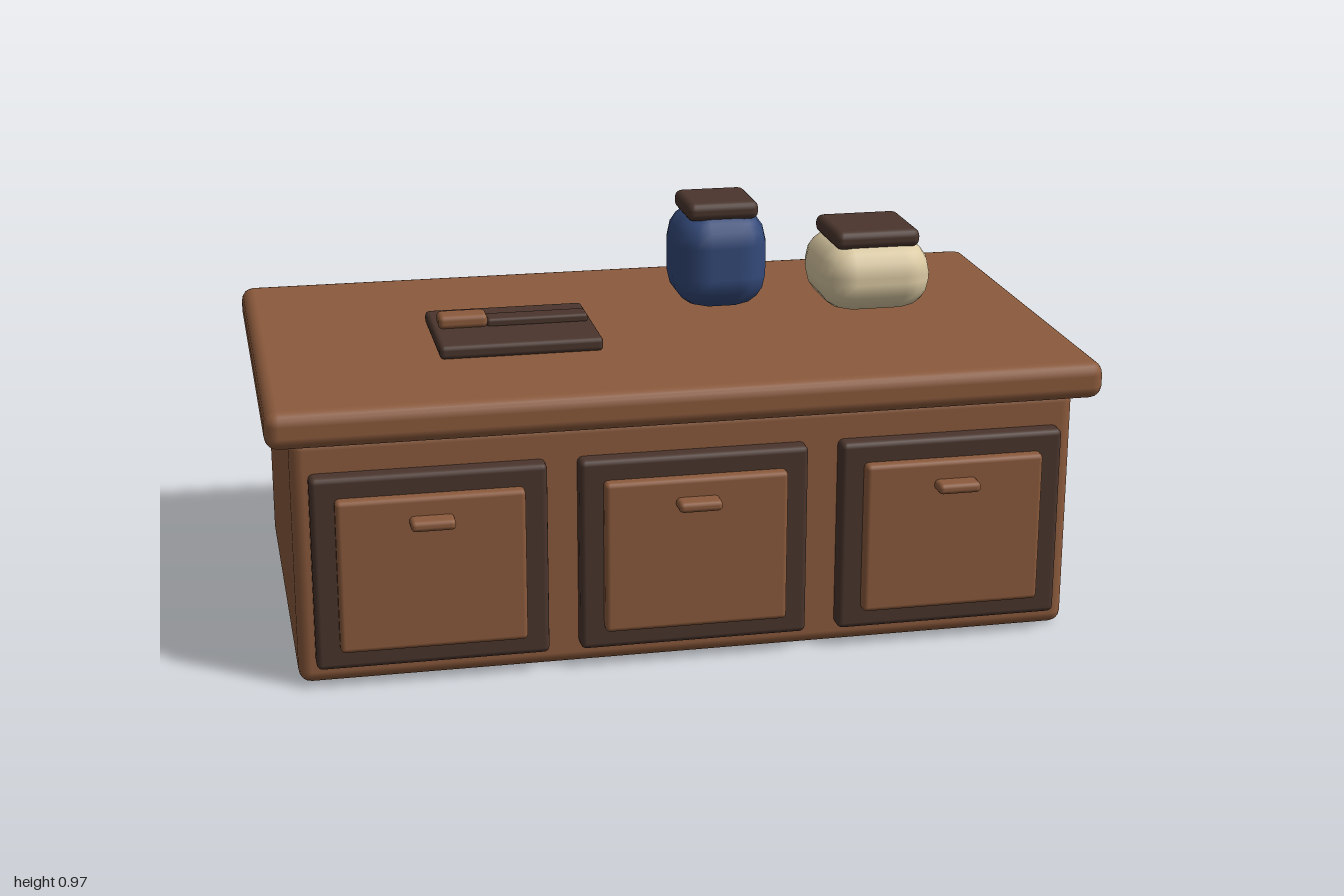
import * as THREE from 'three';
import { RoundedBoxGeometry } from 'three/addons/geometries/RoundedBoxGeometry.js';

function flat(name, color) {
  const m = new THREE.MeshStandardMaterial({ color });
  m.name = name;
  return m;
}

export function createModel() {
  const wood = flat('warm wood', 0x8b5a3c);
  const dark = flat('dark wood', 0x4a352d);
  const blue = flat('blue glaze', 0x344a7a);
  const cream = flat('cream glaze', 0xdccba4);

  const model = new THREE.Group();
  model.name = 'kitchenIsland';

  // Rounded block given by its extents on each axis
  function block(parent, name, material, [x0, x1], [y0, y1], [z0, z1], radius, segments = 2) {
    const geometry = new RoundedBoxGeometry(x1 - x0, y1 - y0, z1 - z0, segments, radius);
    const mesh = new THREE.Mesh(geometry, material);
    mesh.name = name;
    mesh.position.set((x0 + x1) / 2, (y0 + y1) / 2, (z0 + z1) / 2);
    parent.add(mesh);
    return mesh;
  }

  function group(name) {
    const g = new THREE.Group();
    g.name = name;
    model.add(g);
    return g;
  }

  // Cabinet and countertop
  block(model, 'cabinetBody', wood, [-0.945, 0.94], [0, 0.61], [-0.54, 0.48], 0.03);
  block(model, 'countertop', wood, [-1, 1], [0.595, 0.687], [-0.59, 0.525], 0.032);

  // Three doors: dark frame, raised panel and pull
  [-0.63, -0.005, 0.625].forEach((x, i) => {
    const door = group('door' + (i + 1));
    block(door, 'doorFrame', dark, [x - 0.275, x + 0.275], [0.05, 0.525], [0.44, 0.52], 0.014);
    block(door, 'doorPanel', wood, [x - 0.22, x + 0.22], [0.1, 0.475], [0.49, 0.547], 0.012);
    block(door, 'doorPull', wood, [x - 0.052, x + 0.052], [0.404, 0.43], [0.53, 0.59], 0.011);
  });

  // Jars: soft, heavily rounded pot with a square lid
  function jar(name, glaze, x, z, half, y1, radius, lidHalf, lidY) {
    const g = group(name);
    block(g, 'jarPot', glaze, [x - half, x + half], [0.687, y1], [z - half, z + half], radius);
    block(g, 'jarLid', dark, [x - lidHalf, x + lidHalf], lidY, [z - lidHalf, z + lidHalf], 0.02);
  }
  jar('tallJar', blue, 0.202, -0.19, 0.123, 0.945, 0.088, 0.093, [0.923, 0.971]);
  jar('shortJar', cream, 0.585, -0.117, 0.146, 0.868, 0.082, 0.111, [0.853, 0.901]);

  // Cutting board with a knife lying on it
  block(model, 'cuttingBoard', dark, [-0.56, -0.16], [0.685, 0.72], [-0.145, 0.183], 0.012);
  const knife = group('knife');
  block(knife, 'knifeBlade', dark, [-0.425, -0.173], [0.715, 0.739], [-0.026, 0.032], 0.008);
  block(knife, 'knifeHandle', wood, [-0.545, -0.423], [0.717, 0.752], [-0.029, 0.036], 0.013);

  return model;
}
